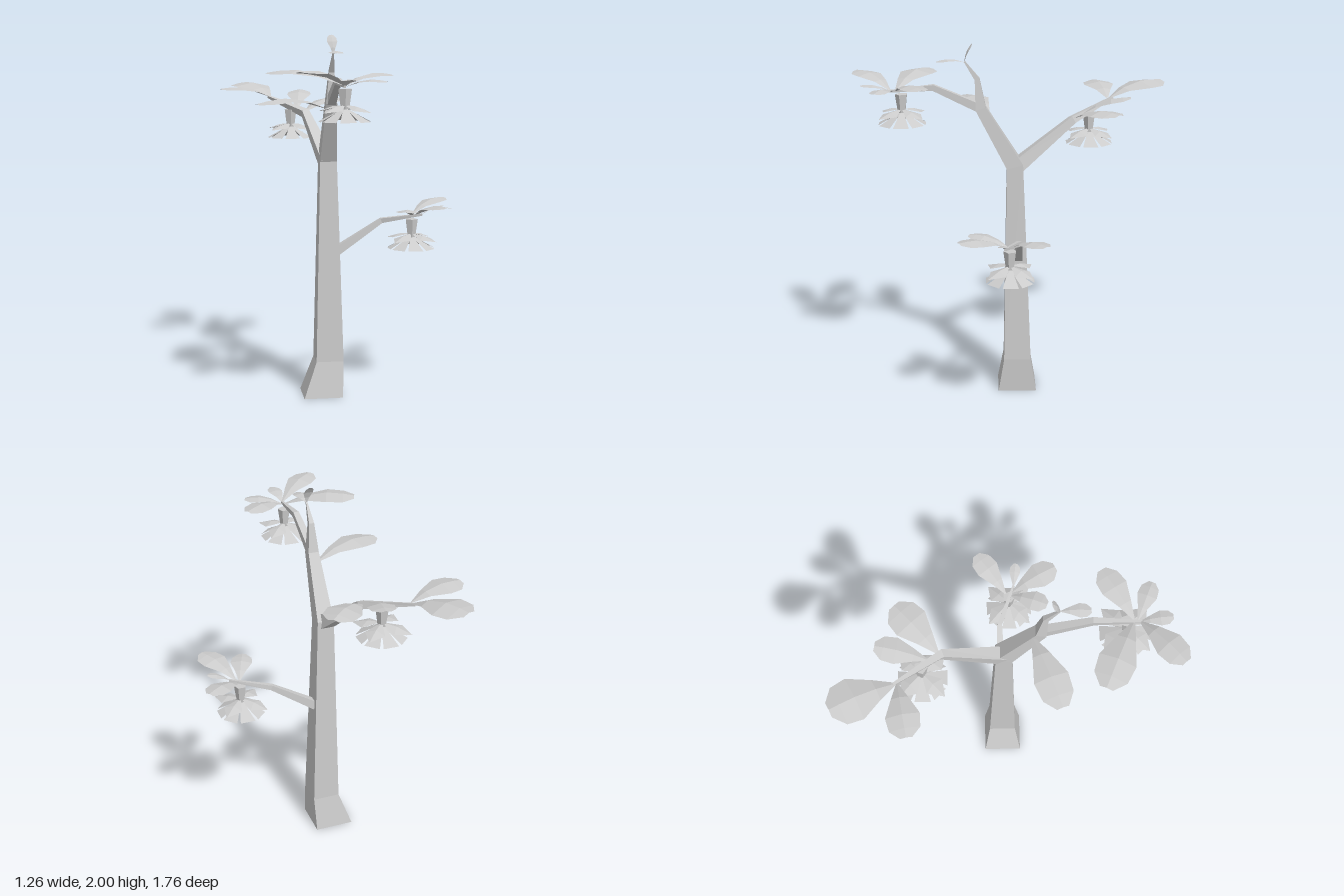
import * as THREE from 'three';

const V = (x, y, z) => new THREE.Vector3(x, y, z);
const material = new THREE.MeshStandardMaterial({
  color: 0xcccccc, flatShading: true, side: THREE.DoubleSide,
});

function meshFrom(name, verts, index) {
  const g = new THREE.BufferGeometry();
  g.setAttribute('position', new THREE.Float32BufferAttribute(verts.flatMap(v => [v.x, v.y, v.z]), 3));
  g.setIndex(index);
  g.computeVertexNormals();
  const mesh = new THREE.Mesh(g, material);
  mesh.name = name;
  return mesh;
}

// Four-sided tapering limb; rows are [x, y, z, half width], the first `upright` rows stay level
function limb(name, rows, sideRef, upright = 0) {
  const pts = rows.map(r => V(r[0], r[1], r[2]));
  const verts = [], index = [];
  pts.forEach((p, i) => {
    const t = V(0, 0, 0);
    if (i < upright) t.set(0, 1, 0);
    else {
      if (i > 0) t.add(p.clone().sub(pts[i - 1]).normalize());
      if (i < pts.length - 1) t.add(pts[i + 1].clone().sub(p).normalize());
      t.normalize();
    }
    const s = sideRef.clone().addScaledVector(t, -sideRef.dot(t)).normalize();
    const n = t.clone().cross(s);
    for (const [a, b] of [[-1, -1], [1, -1], [1, 1], [-1, 1]]) {
      verts.push(p.clone().addScaledVector(s, a * rows[i][3]).addScaledVector(n, b * rows[i][3]));
    }
  });
  for (let i = 0; i < rows.length - 1; i++) {
    for (let k = 0; k < 4; k++) {
      const a = i * 4 + k, b = i * 4 + (k + 1) % 4;
      index.push(a, b, b + 4, a, b + 4, a + 4);
    }
  }
  const e = (rows.length - 1) * 4;
  index.push(0, 2, 1, 0, 3, 2, e, e + 1, e + 2, e, e + 2, e + 3);
  return meshFrom(name, verts, index);
}

// Arched leaf blade, folded along its midrib, widest beyond the middle
const leafOutline = [[0, 0.06], [0.3, 0.5], [0.62, 1], [0.85, 0.9], [1, 0.35]];
function leaf(base, tip, width) {
  const b = V(...base), d = V(...tip).sub(b), length = d.length();
  d.normalize();
  const side = d.clone().cross(V(0, 1, 0)).normalize();
  const normal = side.clone().cross(d);
  const verts = [], index = [];
  leafOutline.forEach(([t, w], i) => {
    for (const u of [-1, 0, 1]) {
      const lift = 0.1 * length * Math.sin(Math.PI * t) - 0.1 * width * w * Math.abs(u);
      verts.push(b.clone().addScaledVector(d, t * length)
        .addScaledVector(side, u * w * width / 2).addScaledVector(normal, lift));
    }
    if (i === 0) return;
    for (let k = 0; k < 2; k++) {
      const a = (i - 1) * 3 + k;
      index.push(a, a + 1, a + 4, a, a + 4, a + 3);
    }
  });
  return meshFrom('leaf', verts, index);
}

// Hanging flower: tapered cup, four pointed upper petals, eight flat-ended lower petals
function flower(x, top, z) {
  const group = new THREE.Group();
  group.name = 'flower';
  group.position.set(x, top, z);
  const cup = new THREE.Mesh(new THREE.CylinderGeometry(0.036, 0.022, 0.1, 5), material);
  cup.name = 'flowerCup';
  cup.position.y = -0.05;
  group.add(cup);
  for (let i = 0; i < 4; i++) {
    const petal = meshFrom('upperPetal',
      [V(0, -0.08, 0), V(0.055, -0.105, 0.09), V(0, -0.115, 0.165), V(-0.055, -0.105, 0.09), V(0, -0.088, 0.08)],
      [0, 4, 1, 1, 4, 2, 2, 4, 3, 3, 4, 0]);
    petal.rotation.y = Math.PI / 4 + i * Math.PI / 2;
    group.add(petal);
  }
  for (let i = 0; i < 8; i++) {
    const petal = meshFrom('lowerPetal',
      [V(-0.01, -0.1, 0.015), V(0.01, -0.1, 0.015), V(0.042, -0.162, 0.127), V(-0.042, -0.162, 0.127)],
      [0, 3, 2, 0, 2, 1]);
    petal.rotation.y = i * Math.PI / 4;
    group.add(petal);
  }
  return group;
}

export function createModel() {
  const tree = new THREE.Group();
  tree.name = 'tree';
  const X = V(1, 0, 0), Z = V(0, 0, 1);

  // Trunk bending forward into its leader, then the three branches
  tree.add(
    limb('trunk', [
      [-0.11, 0, -0.033, 0.108], [-0.07, 0.2, -0.033, 0.076], [-0.075, 1.33, -0.02, 0.046],
      [-0.08, 1.65, 0.165, 0.029], [-0.08, 1.81, 0.183, 0.014], [-0.08, 1.905, 0.25, 0.004],
    ], X, 2),
    limb('frontBranch', [
      [-0.08, 1.645, 0.155, 0.024], [-0.08, 1.765, 0.42, 0.016], [-0.08, 1.745, 0.66, 0.006],
    ], X),
    limb('backBranch', [
      [-0.075, 1.3, 0, 0.04], [-0.16, 1.565, -0.34, 0.021], [-0.35, 1.65, -0.58, 0.007],
    ], X),
    limb('sideBranch', [
      [-0.02, 0.815, -0.037, 0.024], [0.23, 0.98, -0.037, 0.014], [0.445, 1.02, 0.045, 0.006],
    ], Z),
  );

  tree.add(flower(0.39, 0.992, 0.018), flower(-0.235, 1.582, -0.44), flower(-0.07, 1.732, 0.59));

  // Leaves as base, tip and width
  const leaves = [
    // side branch
    [[0.40, 1.02, 0], [0.61, 1.09, -0.16], 0.13],
    [[0.41, 1.02, 0.04], [0.53, 1.085, 0.28], 0.15],
    [[0.39, 1.015, 0.03], [0.31, 1.06, 0.23], 0.12],
    [[0.44, 1.02, 0.045], [0.56, 1.07, 0.06], 0.06],
    // back branch
    [[-0.34, 1.65, -0.56], [-0.49, 1.725, -0.87], 0.23],
    [[-0.34, 1.65, -0.55], [-0.63, 1.7, -0.5], 0.17],
    [[-0.2, 1.59, -0.4], [-0.155, 1.69, -0.66], 0.14],
    [[-0.16, 1.575, -0.35], [0.08, 1.64, -0.57], 0.19],
    // front branch
    [[-0.08, 1.75, 0.62], [-0.44, 1.81, 0.46], 0.19],
    [[-0.08, 1.75, 0.65], [-0.32, 1.82, 0.85], 0.15],
    [[-0.08, 1.745, 0.65], [-0.07, 1.78, 0.81], 0.08],
    [[-0.07, 1.745, 0.64], [0.12, 1.77, 0.72], 0.1],
    [[-0.07, 1.75, 0.62], [0.18, 1.8, 0.47], 0.14],
    // leader
    [[-0.09, 1.61, 0.12], [-0.48, 1.645, 0.26], 0.18],
    [[-0.08, 1.9, 0.25], [-0.08, 1.905, 0.4], 0.075],
    [[-0.08, 1.9, 0.25], [-0.085, 2, 0.21], 0.055],
  ];
  for (const [base, tip, width] of leaves) tree.add(leaf(base, tip, width));
  return tree;
}
